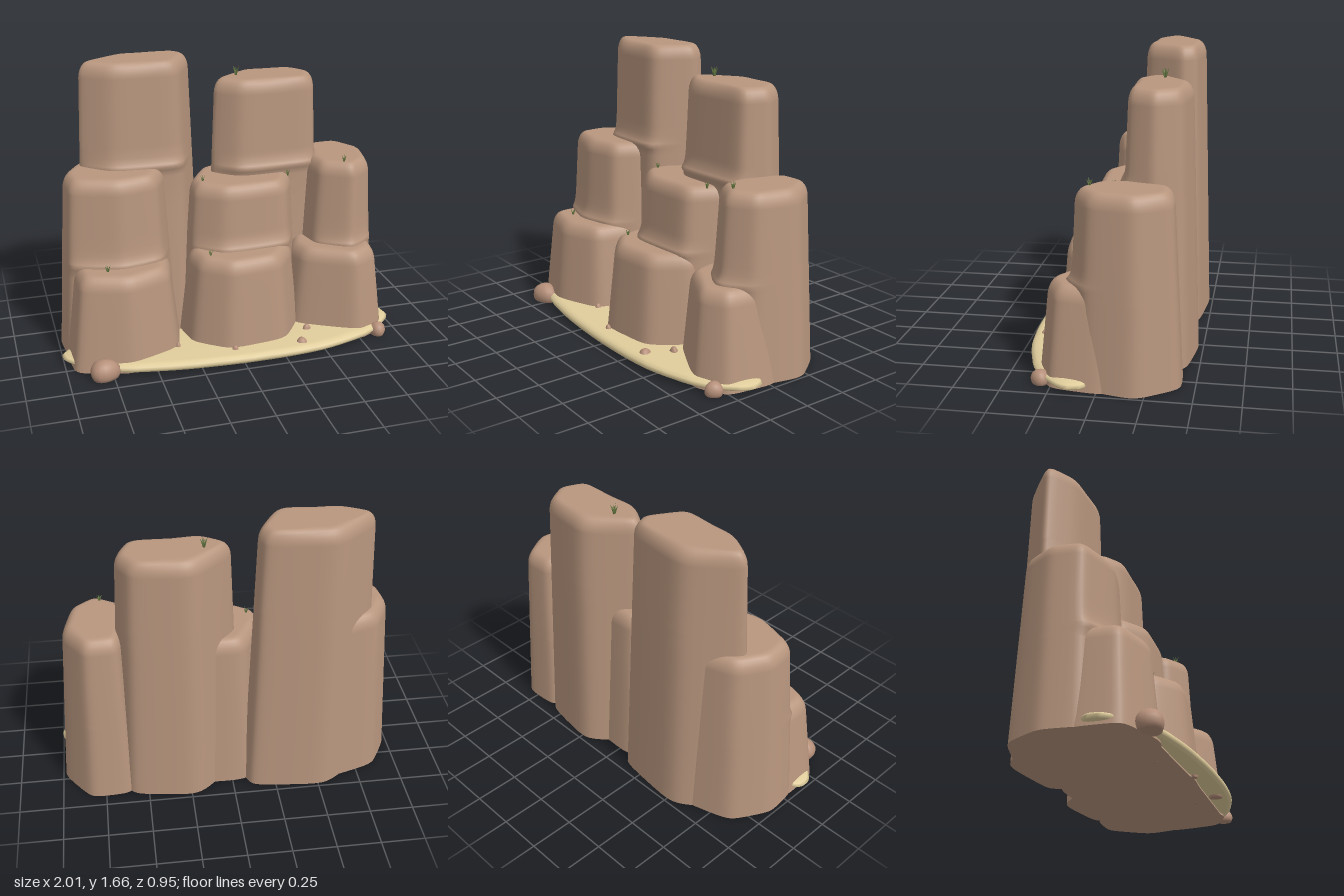
import * as THREE from 'three';

const mat = (name, color, side = THREE.FrontSide) => {
  const m = new THREE.MeshStandardMaterial({ color, side });
  m.name = name;
  return m;
};

// Cut the corners of a closed outline of [x, z] points, once per given cut
function soften(points, ...cuts) {
  for (const cut of cuts) {
    points = points.flatMap(([x, z], i) => {
      const [u, v] = points[(i + 1) % points.length];
      return [
        [x + (u - x) * cut, z + (v - z) * cut],
        [u + (x - u) * cut, v + (z - v) * cut],
      ];
    });
  }
  return points;
}

// Stack an outline into a closed solid; at(x, z, level) gives each ring point
function loft(outline, levels, at) {
  const flat = outline.map(([x, z]) => new THREE.Vector2(x, z));
  const ring = THREE.ShapeUtils.area(flat) > 0 ? [...outline].reverse() : outline;
  const n = ring.length;
  const pos = [], index = [];
  const addRing = (level) => ring.forEach(([x, z]) => pos.push(...at(x, z, level)));
  levels.forEach(addRing);
  for (let k = 0; k < levels.length - 1; k++) {
    for (let i = 0; i < n; i++) {
      const a = k * n + i, b = k * n + (i + 1) % n;
      index.push(a, b, b + n, a, b + n, a + n);
    }
  }
  const cap = (start, up) => {
    const c = pos.length / 3;
    const mid = [0, 0, 0];
    for (let i = 0; i < n; i++) for (let j = 0; j < 3; j++) mid[j] += pos[(start + i) * 3 + j] / n;
    pos.push(...mid);
    for (let i = 0; i < n; i++) {
      const a = start + i, b = start + (i + 1) % n;
      index.push(...(up ? [a, b, c] : [b, a, c]));
    }
  };
  cap((levels.length - 1) * n, true);
  const under = pos.length / 3;
  addRing(levels[0]);
  cap(under, false);
  const g = new THREE.BufferGeometry();
  g.setAttribute('position', new THREE.Float32BufferAttribute(pos, 3));
  g.setIndex(index);
  g.computeVertexNormals();
  return g;
}

// Tapered rock column with a rounded rim and a soft foot where its front meets the ledge below
function columnGeometry(points, top, ledge) {
  const xs = points.map((p) => p[0]), zs = points.map((p) => p[1]);
  const cx = (Math.min(...xs) + Math.max(...xs)) / 2;
  const cz = (Math.min(...zs) + Math.max(...zs)) / 2;
  const halfWidth = Math.max(...xs) - cx, halfDepth = Math.max(...zs) - cz;
  const rimH = 0.085, rimW = 0.055;
  const walls = top - rimH;
  const heights = [0, 0.25, 0.5, 0.75].map((t) => t * walls);
  if (ledge) for (const d of [-0.06, -0.02, 0, 0.015, 0.035, 0.06, 0.1]) heights.push(ledge + d);
  const levels = heights.sort((a, b) => a - b).map((y) => ({ y, inset: 0 }));
  for (let i = 0; i <= 6; i++) {
    const a = (i / 6) * Math.PI / 2;
    levels.push({ y: walls + rimH * Math.sin(a), inset: rimW * (1 - Math.cos(a)) });
  }
  levels.push({ y: top, inset: rimW + 0.015 });
  return loft(soften(points, 0.13, 0.2, 0.25), levels, (x, z, { y, inset }) => {
    const dx = x - cx, dz = z - cz, r = Math.hypot(dx, dz);
    const front = THREE.MathUtils.clamp(2 * dz / halfDepth - 0.7, 0, 1);
    const foot = ledge ? 0.03 * front * Math.exp(-Math.abs(y - ledge) / 0.03) : 0;
    const rim = 1 - inset / r, drop = 1 - y / top;
    return [
      cx + dx * (rim + 0.068 / halfWidth * drop), y,
      cz + dz * (rim + 0.055 / halfDepth * drop) + foot,
    ];
  });
}

// name, top, ledge it rises from, outline near the top
const COLUMNS = [
  ['tallLeftColumn', 1.66, 1.06, [[-0.81, -0.22], [-0.54, -0.435], [-0.17, -0.4], [-0.13, -0.31], [-0.25, -0.09], [-0.62, -0.1]]],
  ['middleLeftColumn', 1.06, 0.56, [[-0.92, -0.13], [-0.82, -0.31], [-0.55, -0.39], [-0.37, -0.3], [-0.34, -0.08], [-0.42, 0.08], [-0.64, 0.13], [-0.9, 0.05]]],
  ['lowLeftColumn', 0.56, 0, [[-0.9, 0.05], [-0.89, 0.25], [-0.63, 0.325], [-0.39, 0.23], [-0.34, 0], [-0.42, -0.15], [-0.85, -0.15]]],
  ['tallRightColumn', 1.52, 1, [[-0.03, -0.2], [0.22, -0.43], [0.54, -0.39], [0.62, -0.25], [0.56, -0.1], [0.13, -0.08]]],
  ['middleCentreColumn', 0.96, 0.58, [[-0.18, -0.12], [-0.18, 0.01], [-0.02, 0.12], [0.34, 0.1], [0.44, -0.1], [0.4, -0.32], [-0.06, -0.34]]],
  ['lowCentreColumn', 0.58, 0, [[-0.23, 0.04], [-0.2, 0.2], [-0.04, 0.32], [0.25, 0.29], [0.39, 0.09], [0.32, -0.15], [-0.15, -0.15]]],
  ['middleRightColumn', 1.04, 0.54, [[0.54, -0.1], [0.63, -0.365], [0.81, -0.375], [0.93, -0.19], [0.88, 0.05], [0.74, 0.15], [0.57, 0.05]]],
  ['lowRightColumn', 0.54, 0, [[0.41, 0], [0.45, 0.15], [0.72, 0.3], [0.87, 0.22], [0.9, 0], [0.84, -0.2], [0.5, -0.2]]],
];

// x, z, half width, height, half depth
const ROCKS = [
  [-0.8, 0.37, 0.085, 0.108, 0.07], [0.875, 0.31, 0.048, 0.075, 0.05],
  [-0.35, 0.25, 0.02, 0.09, 0.024], [-0.04, 0.375, 0.024, 0.09, 0.02],
  [0.36, 0.39, 0.038, 0.09, 0.042], [0.44, 0.25, 0.03, 0.095, 0.026],
];

// x, ground height, z, blade height
const TUFTS = [
  [0.14, 1.52, -0.25, 0.06], [0.71, 1.035, 0.07, 0.045], [-0.12, 0.955, -0.04, 0.04],
  [0.39, 0.955, -0.01, 0.04], [-0.73, 0.555, 0.19, 0.045], [-0.13, 0.575, 0.17, 0.04],
];

export function createModel() {
  const model = new THREE.Group();
  const cliff = mat('cliff brown', 0xb8967e);
  const stone = mat('loose stone', 0xb58f79);
  const sand = mat('sand', 0xe0cd9c);
  const grass = mat('grass green', 0x62753f, THREE.DoubleSide);
  const add = (parent, name, geometry, material) => {
    const mesh = new THREE.Mesh(geometry, material);
    mesh.name = name;
    parent.add(mesh);
    return mesh;
  };

  // Stepped rock columns
  for (const [name, top, ledge, points] of COLUMNS) {
    add(model, name, columnGeometry(points, top, ledge), cliff);
  }

  // Rock floor closing the clefts between the columns
  const floor = [[-0.9, -0.2], [-0.88, 0.27], [-0.6, 0.35], [0, 0.36], [0.72, 0.33], [0.9, 0.22], [0.9, -0.2]];
  add(model, 'rockFloor', loft(floor, [0, 0.008], (x, z, y) => [x, y, z]), cliff);

  // Sand bank along the front, with a rounded edge
  const bank = [[-1.01, 0.1], [-1.0, 0.21], [-0.74, 0.39], [-0.4, 0.45], [-0.05, 0.475], [0.25, 0.475],
    [0.5, 0.455], [0.82, 0.36], [1.01, 0.18], [0.99, 0.06], [0.85, 0.03], [-0.85, 0.03]];
  const edge = [[0.012, 0.93], [0.022, 0.98], [0.036, 1], [0.05, 0.985], [0.062, 0.94], [0.067, 0.86]];
  add(model, 'sandBank', loft(soften(bank, 0.2, 0.2), edge,
    (x, z, [y, s]) => [x * s, y, 0.2 + (z - 0.2) * s]), sand);

  // Loose stones, flat underneath
  ROCKS.forEach(([x, z, w, h, d], i) => {
    const g = new THREE.SphereGeometry(1, 16, 12);
    const p = g.attributes.position;
    for (let k = 0; k < p.count; k++) {
      const a = Math.atan2(p.getZ(k), p.getX(k));
      const s = 1 + 0.07 * Math.cos(3 * a + i);
      p.setXYZ(k, p.getX(k) * s, Math.max(p.getY(k), -0.5), p.getZ(k) * s);
    }
    g.scale(w, h / 1.5, d);
    g.computeVertexNormals();
    add(model, 'stone', g, stone).position.set(x, h / 3, z);
  });

  // Grass tufts of leaning blades
  for (const [x, y, z, h] of TUFTS) {
    const tuft = new THREE.Group();
    tuft.name = 'grassTuft';
    tuft.position.set(x, y, z);
    for (let i = 0; i < 5; i++) {
      const g = new THREE.ConeGeometry(h * 0.12, h, 4);
      g.translate(0, h / 2, 0);
      g.rotateZ(i ? -0.4 : 0);
      g.rotateY(i * Math.PI / 2 + 0.4);
      add(tuft, 'blade', g, grass);
    }
    model.add(tuft);
  }
  return model;
}
